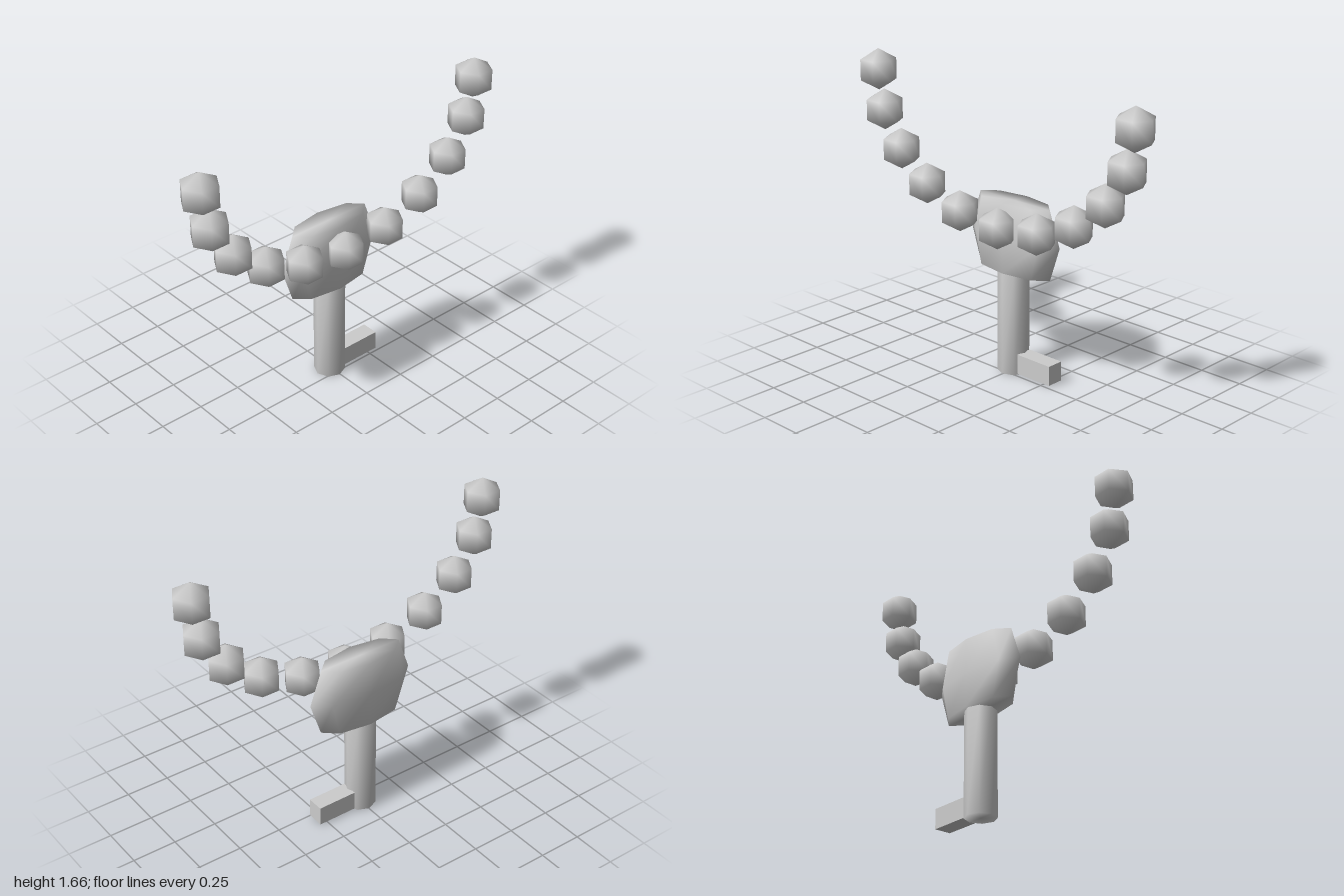
import * as THREE from 'three';
import { mergeVertices } from 'three/addons/utils/BufferGeometryUtils.js';

// Weld all corners so shading runs smoothly over every edge
function weld(geometry) {
  geometry.deleteAttribute('uv');
  geometry.deleteAttribute('normal');
  const welded = mergeVertices(geometry, 1e-4);
  welded.computeVertexNormals();
  return welded;
}

export function createModel() {
  const model = new THREE.Group();
  const grey = new THREE.MeshStandardMaterial({ color: 0xcccccc });
  grey.name = 'light grey';

  const add = (name, geometry, x, y, z) => {
    const mesh = new THREE.Mesh(geometry, grey);
    mesh.name = name;
    mesh.position.set(x, y, z);
    model.add(mesh);
    return mesh;
  };

  // Shaft
  add('shaft', weld(new THREE.CylinderGeometry(0.086, 0.086, 0.59, 8, 1)), -0.003, 0.295, -0.056);

  // Key bit at the foot of the shaft
  add('bit', new THREE.BoxGeometry(0.23, 0.11, 0.096), 0.185, 0.065, -0.058);

  // Flattened bow, widest at mid height, with constant depth
  const bow = new THREE.CylinderGeometry(1, 1, 0.385, 8, 2);
  const p = bow.attributes.position;
  for (let i = 0; i < p.count; i++) {
    const y = p.getY(i);
    const halfWidth = Math.abs(y) < 0.01 ? 0.32 : y > 0 ? 0.25 : 0.256;
    p.setX(i, p.getX(i) * halfWidth);
    p.setZ(i, p.getZ(i) * 0.095);
  }
  add('bow', weld(bow), 0, 0.7725, -0.06);

  // String of beads, mirrored about the middle one
  const bead = new THREE.SphereGeometry(0.115, 6, 3);
  const path = [[0, 0.84], [0.277, 0.874], [0.528, 0.974], [0.728, 1.13], [0.857, 1.328], [0.9, 1.545]];
  path.forEach(([x, y], i) => {
    add(i ? 'leftBead' : 'middleBead', bead, x, y, 0.07);
    if (i) add('rightBead', bead, -x, y, 0.07);
  });

  return model;
}
